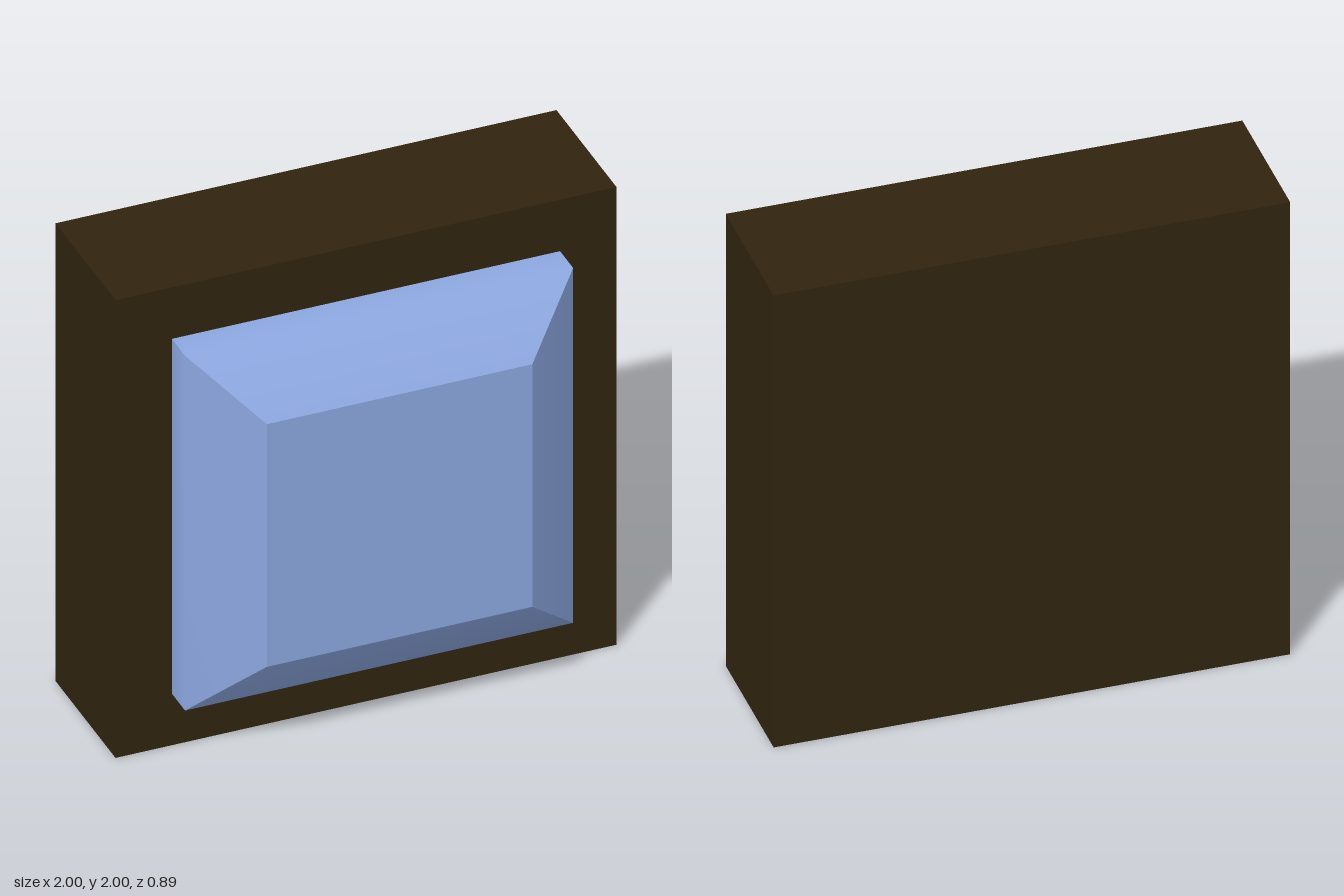
import * as THREE from 'three';

export function createModel() {
  const model = new THREE.Group();
  const brown = new THREE.MeshStandardMaterial({ color: 0x30240f });
  brown.name = 'darkBrown';
  const blue = new THREE.MeshStandardMaterial({ color: 0x8aa5de });
  blue.name = 'softBlue';

  // Square backing block
  const block = new THREE.Mesh(new THREE.BoxGeometry(2, 2, 0.57), brown);
  block.name = 'backingBlock';
  block.position.set(0, 1, -0.16);
  model.add(block);

  // Raised button: four identical wall-and-bevel strips, smooth across the bend
  const button = new THREE.Group();
  button.name = 'raisedButton';
  button.position.y = 1;
  model.add(button);

  const profile = [[0.775, 0.125], [0.775, 0.25], [0.53, 0.445]]; // half width, z
  const points = profile.flatMap(([h, z]) => [-h, h, z, h, h, z]);
  const index = [];
  for (let i = 0; i < profile.length - 1; i++) {
    const a = i * 2;
    index.push(a, a + 2, a + 1, a + 1, a + 2, a + 3);
  }
  const strip = new THREE.BufferGeometry();
  strip.setAttribute('position', new THREE.Float32BufferAttribute(points, 3));
  strip.setIndex(index);
  strip.computeVertexNormals();

  ['top', 'left', 'bottom', 'right'].forEach((name, i) => {
    const side = new THREE.Mesh(strip, blue);
    side.name = name + 'Bevel';
    side.rotation.z = -i * Math.PI / 2;
    button.add(side);
  });

  // Flat front face of the button
  const face = new THREE.Mesh(new THREE.PlaneGeometry(1.06, 1.06), blue);
  face.name = 'frontFace';
  face.position.z = 0.445;
  button.add(face);

  return model;
}
